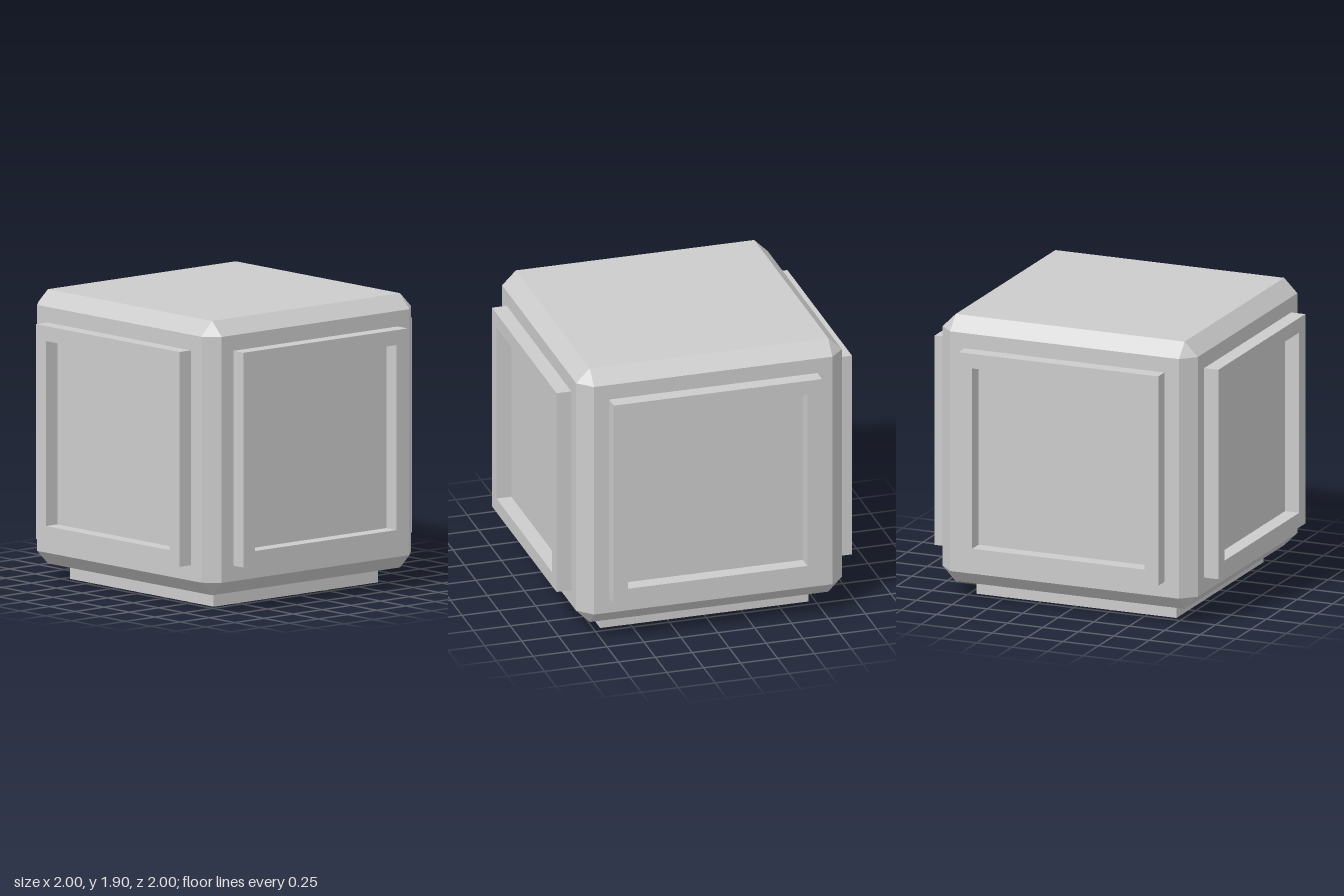
import * as THREE from 'three';
import { ConvexGeometry } from 'three/addons/geometries/ConvexGeometry.js';

const HALF = 0.9;    // half size of the body
const FLAT = 0.807;  // half size of each flat face inside the chamfers
const OUTER = 0.705; // half size of a frame
const INNER = 0.607; // half size of a frame's opening
const DEPTH = 0.1;   // how far a frame stands out

// Square outline, traced counter-clockwise
function square(Type, h) {
  return new Type([[-h, -h], [h, -h], [h, h], [-h, h]].map(([x, y]) => new THREE.Vector2(x, y)));
}

// Cube with chamfered edges and triangular corners
function chamferedCube() {
  const points = [];
  for (const x of [-1, 1]) for (const y of [-1, 1]) for (const z of [-1, 1]) {
    points.push(
      new THREE.Vector3(x * HALF, y * FLAT, z * FLAT),
      new THREE.Vector3(x * FLAT, y * HALF, z * FLAT),
      new THREE.Vector3(x * FLAT, y * FLAT, z * HALF),
    );
  }
  return new ConvexGeometry(points);
}

export function createModel() {
  const model = new THREE.Group();
  model.name = 'framedCube';
  const material = new THREE.MeshStandardMaterial({ color: 0xcccccc, flatShading: true });

  const body = new THREE.Mesh(chamferedCube(), material);
  body.name = 'body';
  body.position.y = 1;
  model.add(body);

  // Raised square frame, lying on the front face before it is turned
  const outline = square(THREE.Shape, OUTER);
  outline.holes.push(square(THREE.Path, INNER));
  const frameGeometry = new THREE.ExtrudeGeometry(outline, { depth: DEPTH, bevelEnabled: false });
  frameGeometry.translate(0, 0, HALF);

  // One frame on every face but the top
  const turns = {
    frontFrame: [0, 0],
    leftFrame: [0, Math.PI / 2],
    backFrame: [0, Math.PI],
    rightFrame: [0, -Math.PI / 2],
    bottomFrame: [Math.PI / 2, 0],
  };
  for (const [name, [rx, ry]] of Object.entries(turns)) {
    const frame = new THREE.Mesh(frameGeometry, material);
    frame.name = name;
    frame.position.y = 1;
    frame.rotation.set(rx, ry, 0);
    model.add(frame);
  }
  return model;
}
